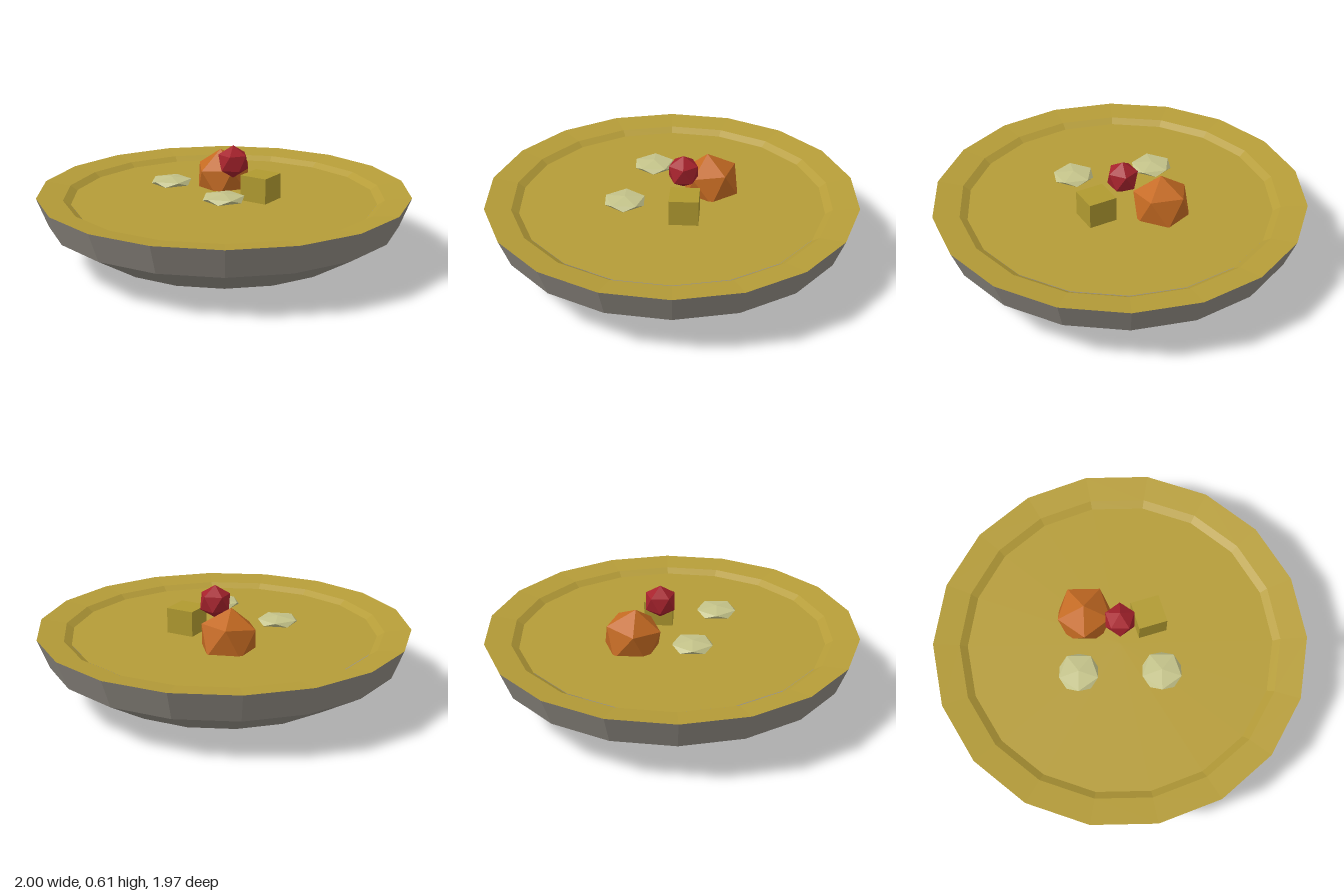
import * as THREE from 'three';

const SIDES = 18;
const VERTEX_UP = Math.atan(2 / (1 + Math.sqrt(5)));

function mesh(name, geometry, color, side = THREE.FrontSide) {
  const m = new THREE.Mesh(geometry, new THREE.MeshStandardMaterial({ color, flatShading: true, side }));
  m.name = name;
  return m;
}

// Turned ring with a corner on the x axis
function turned(points) {
  const profile = points.map(([r, y]) => new THREE.Vector2(r, y));
  return new THREE.LatheGeometry(profile, SIDES, Math.PI / 2);
}

// Icosahedron standing on a corner, turned about y
function chunk(radius, turn) {
  return new THREE.IcosahedronGeometry(radius).rotateZ(VERTEX_UP).rotateY(turn);
}

export function createModel() {
  const group = new THREE.Group();

  // Outside of the bowl, from the foot up to the lip
  group.add(mesh('bowlOutside',
    turned([[0, 0], [0.5, 0], [0.69, 0.07], [0.94, 0.22], [1, 0.375]]), 0x8f8a82, THREE.DoubleSide));

  // Sloping rim and inner wall
  group.add(mesh('bowlRim',
    turned([[1, 0.375], [0.86, 0.357], [0.815, 0.325]]), 0xb59c38, THREE.DoubleSide));

  // Broth surface
  const broth = mesh('broth', new THREE.CircleGeometry(0.82, SIDES).rotateX(-Math.PI / 2), 0xb59c38);
  broth.position.y = 0.333;
  group.add(broth);

  // Large orange chunk
  const large = mesh('orangeChunk', chunk(0.165, Math.PI / 2), 0xc46a22);
  large.position.set(-0.19, 0.38, -0.155);
  large.rotation.x = 0.12;
  group.add(large);

  // Small red chunk resting on the others
  const red = mesh('redBerry', chunk(0.09, -Math.PI / 2), 0xa6222c);
  red.position.set(0, 0.52, -0.065);
  group.add(red);

  // Diced cube
  const cube = mesh('dicedCube', new THREE.BoxGeometry(0.155, 0.155, 0.155), 0xb09a30);
  cube.position.set(0.155, 0.393, -0.125);
  cube.rotation.y = 0.28;
  group.add(cube);

  // Two flat pale slices
  for (const [name, x] of [['leftSlice', 0.215], ['rightSlice', -0.222]]) {
    const slice = mesh(name, chunk(0.12, 0.3).scale(1, 0.21, 1), 0xc4c38a);
    slice.position.set(x, 0.41, 0.185);
    group.add(slice);
  }

  return group;
}
